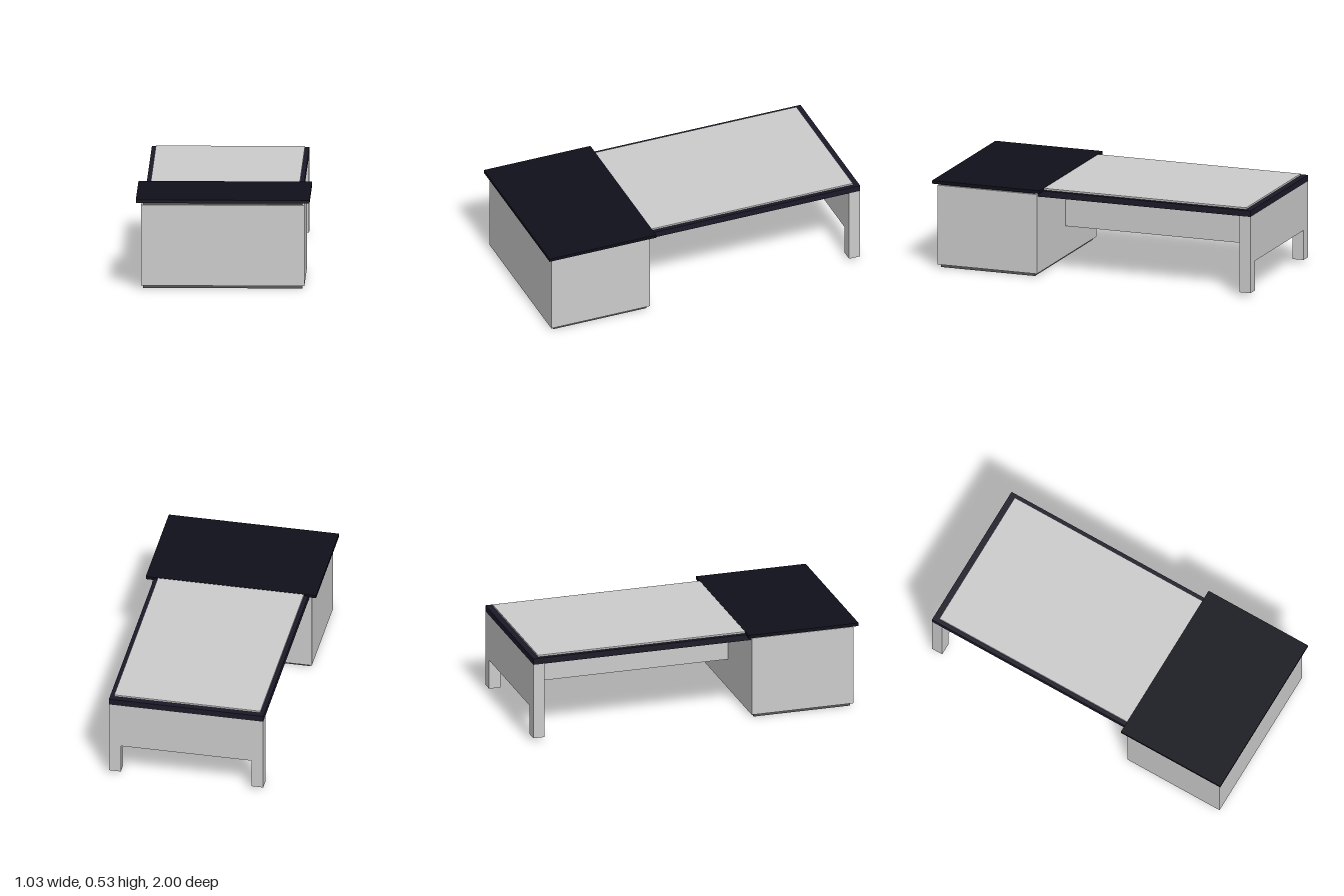
import * as THREE from 'three';

const grey = new THREE.MeshStandardMaterial({ color: 0xcccccc });
const plinthGrey = new THREE.MeshStandardMaterial({ color: 0x555555 });
const topBlack = new THREE.MeshStandardMaterial({ color: 0x10101b });
const frameBlack = new THREE.MeshStandardMaterial({ color: 0x1c1a28 });

// Box given by its half width in x and its ranges in y and z
function slab(name, halfW, [y0, y1], [z0, z1], material) {
  const mesh = new THREE.Mesh(new THREE.BoxGeometry(halfW * 2, y1 - y0, z1 - z0), material);
  mesh.position.set(0, (y0 + y1) / 2, (z0 + z1) / 2);
  mesh.name = name;
  return mesh;
}

// Rear support: one panel with two short legs and a wide cut-out between them
function rearSupport() {
  const w = 0.465, inner = 0.393, foot = 0.02, arch = 0.2, top = 0.484, depth = 0.07;
  const outline = [[-w, foot], [-inner, foot], [-inner, arch], [inner, arch],
    [inner, foot], [w, foot], [w, top], [-w, top]];
  const shape = new THREE.Shape(outline.map(([x, y]) => new THREE.Vector2(x, y)));
  const mesh = new THREE.Mesh(new THREE.ExtrudeGeometry(shape, { depth, bevelEnabled: false }), grey);
  mesh.position.z = -1;
  mesh.name = 'rearLegPanel';
  return mesh;
}

export function createModel() {
  const model = new THREE.Group();
  model.name = 'deskWithCabinet';

  // Front cabinet between a recessed plinth and a recessed neck, under an overhanging top
  const cabinet = new THREE.Group();
  cabinet.name = 'cabinet';
  cabinet.add(
    slab('plinth', 0.47, [0, 0.017], [0.365, 0.96], plinthGrey),
    slab('cabinetBody', 0.482, [0.017, 0.5], [0.348, 0.977], grey),
    slab('neck', 0.47, [0.5, 0.514], [0.365, 0.96], plinthGrey),
    slab('cabinetTop', 0.513, [0.514, 0.533], [0.32, 1], topBlack),
  );

  // Long desk: dark frame, raised inlay, central beam and rear legs
  const desk = new THREE.Group();
  desk.name = 'desk';
  desk.add(
    slab('deskFrame', 0.465, [0.484, 0.521], [-1, 0.348], frameBlack),
    slab('deskInlay', 0.44, [0.521, 0.531], [-0.963, 0.325], grey),
    slab('centralBeam', 0.02, [0.2, 0.484], [-0.93, 0.348], grey),
    rearSupport(),
  );

  model.add(cabinet, desk);
  return model;
}
